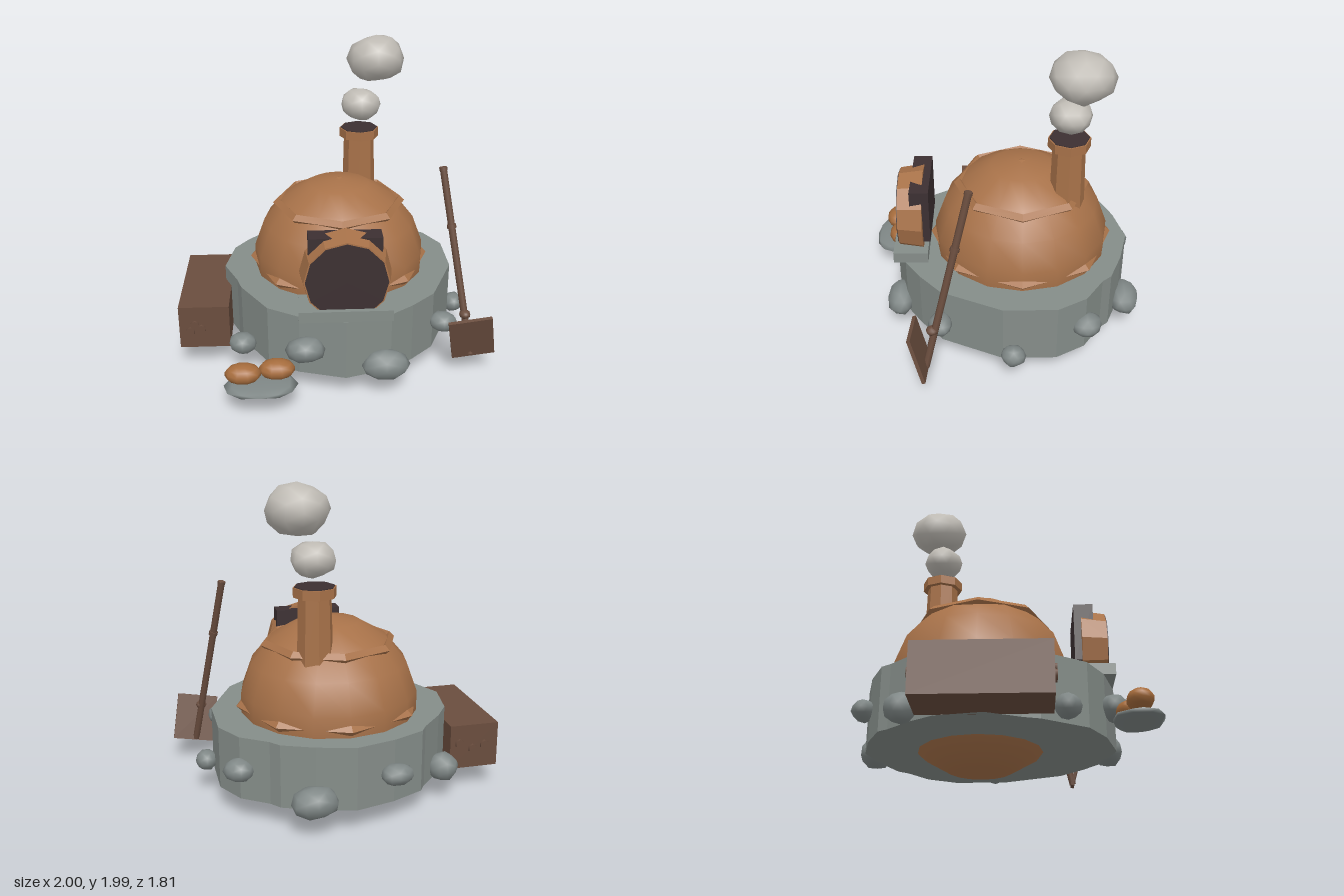
import * as THREE from 'three';
import { mergeVertices } from 'three/addons/utils/BufferGeometryUtils.js';

const mat = (name, color, flat = false) => {
  const m = new THREE.MeshStandardMaterial({ color, flatShading: flat });
  m.name = name;
  return m;
};

export function createModel() {
  const root = new THREE.Group();
  root.name = 'clayOven';
  const clay = mat('clay', 0xa87249);
  const stone = mat('stone', 0x858d89, true);
  const rock = mat('rock', 0x7f8786);
  const wood = mat('wood', 0x6a4d3e);
  const soot = mat('soot', 0x3c3032);
  const bread = mat('bread crust', 0xa66c3c);
  const smoke = mat('smoke', 0xc0bcb5);
  const clayFlat = mat('clay faceted', 0xa87249, true);

  const add = (name, geo, material, x, y, z, parent = root) => {
    const m = new THREE.Mesh(geo, material);
    m.name = name;
    m.position.set(x, y, z);
    parent.add(m);
    return m;
  };

  // Low-poly rounded lump with smooth normals, slightly uneven
  const lump = (rx, ry, rz, seed = 0) => {
    let g = new THREE.IcosahedronGeometry(1, 1);
    g.deleteAttribute('normal');
    g.deleteAttribute('uv');
    g = mergeVertices(g, 1e-3);
    const p = g.attributes.position;
    for (let i = 0; i < p.count; i++) {
      const k = 1 + 0.05 * Math.sin(i * 2.7 + seed * 1.9);
      p.setXYZ(i, p.getX(i) * k, p.getY(i) * k, p.getZ(i) * k);
    }
    g.scale(rx, ry, rz);
    g.computeVertexNormals();
    return g;
  };

  // Oven body, with coarse reinforcing bands whose corners break the surface
  const cx = 0.04, cz = -0.14;
  add('ovenDome', new THREE.SphereGeometry(0.568, 16, 9), clay, cx, 0.568, cz);
  for (const [r, y] of [[0.56, 0.585], [0.4, 0.97]]) {
    const band = add('domeBand', new THREE.TorusGeometry(r, 0.032, 4, 8), clayFlat, cx, y, cz);
    band.rotation.x = Math.PI / 2;
  }
  add('domeTip', new THREE.OctahedronGeometry(0.05), clayFlat, cx, 1.125, cz).scale.y = 0.3;

  // Irregular stone base
  const outline = [
    [0.04, -0.84], [0.27, -0.78], [0.46, -0.7], [0.51, -0.64], [0.67, -0.53], [0.77, -0.35],
    [0.775, -0.02], [0.68, 0.2], [0.61, 0.36], [0.46, 0.5], [0.32, 0.6], [0.04, 0.68],
    [-0.24, 0.6], [-0.43, 0.49], [-0.6, 0.22], [-0.63, 0.12], [-0.72, -0.08], [-0.67, -0.35],
    [-0.58, -0.48], [-0.44, -0.63], [-0.4, -0.69], [-0.2, -0.78],
  ].map(([x, z]) => new THREE.Vector2(x, z));
  const baseGeo = new THREE.ExtrudeGeometry(new THREE.Shape(outline), { depth: 0.39, bevelEnabled: false });
  baseGeo.rotateX(Math.PI / 2);
  add('stoneBase', baseGeo, stone, 0, 0.54, 0);

  // Ten boulders around the base, alternating low and high
  const sizes = [
    [0.07, 0.065, 0.075], [0.09, 0.065, 0.075], [0.145, 0.095, 0.095], [0.12, 0.08, 0.085], [0.09, 0.07, 0.075],
    [0.09, 0.065, 0.08], [0.1, 0.09, 0.095], [0.1, 0.065, 0.075], [0.14, 0.095, 0.1], [0.095, 0.07, 0.095],
  ];
  sizes.forEach((s, i) => {
    const a = (i * Math.PI) / 5;
    add('boulder', lump(...s, i), rock,
      0.04 + 0.785 * Math.cos(a), i % 2 ? 0.34 : 0.22, -0.085 + 0.77 * Math.sin(a));
  });

  // Oven mouth: clay collar, sooty opening and backing block
  const collarGeo = new THREE.CylinderGeometry(0.255, 0.278, 0.155, 12);
  collarGeo.rotateX(Math.PI / 2);
  add('mouthCollar', collarGeo, clayFlat, 0.045, 0.785, 0.562);
  const openingGeo = new THREE.CylinderGeometry(0.246, 0.246, 0.008, 12);
  openingGeo.rotateX(Math.PI / 2);
  add('mouthOpening', openingGeo, soot, 0.045, 0.785, 0.641);
  add('mouthBlock', new THREE.BoxGeometry(0.44, 0.37, 0.12), soot, 0.04, 0.845, 0.5);
  add('hearthSlab', new THREE.BoxGeometry(0.56, 0.07, 0.22), stone, 0.04, 0.575, 0.565);

  // Chimney
  const chimney = new THREE.Group();
  chimney.name = 'chimney';
  chimney.position.set(0.19, 0, -0.42);
  root.add(chimney);
  add('chimneyStack', new THREE.CylinderGeometry(0.1, 0.11, 0.42, 8), clayFlat, 0, 1.13, 0, chimney);
  add('chimneyCap', new THREE.CylinderGeometry(0.13, 0.13, 0.058, 8), clayFlat, 0, 1.356, 0, chimney);
  add('chimneyOpening', new THREE.CylinderGeometry(0.122, 0.122, 0.006, 8), soot, 0, 1.387, 0, chimney);

  // Smoke puffs
  add('smokePuffSmall', lump(0.135, 0.108, 0.128, 1), smoke, 0.2, 1.545, -0.42);
  add('smokePuffLarge', lump(0.187, 0.152, 0.19, 3), smoke, 0.3, 1.84, -0.47);

  // Wood bin with log ends at front and back
  add('woodBin', new THREE.BoxGeometry(0.32, 0.29, 0.74), wood, -0.84, 0.295, -0.08);
  const logGeo = new THREE.CylinderGeometry(0.03, 0.03, 0.03, 6);
  logGeo.rotateX(Math.PI / 2);
  for (const [x, y, z] of [
    [-0.9, 0.315, 0.29], [-0.86, 0.285, 0.29], [-0.93, 0.27, 0.29],
    [-0.91, 0.3, -0.45], [-0.83, 0.28, -0.45], [-0.74, 0.32, -0.45],
  ]) add('logEnd', logGeo, wood, x, y, z);

  // Loaves on a flat stone
  add('servingStone', lump(0.215, 0.025, 0.15, 2), rock, -0.475, 0.175, 0.755);
  const loafGeo = new THREE.SphereGeometry(1, 10, 7);
  loafGeo.scale(0.11, 0.06, 0.077);
  for (const [x, z] of [[-0.575, 0.757], [-0.375, 0.718]]) add('loaf', loafGeo, bread, x, 0.258, z);

  // Shovel leaning on the base: handle, rings, knob and blade
  const top = new THREE.Vector3(0.66, 1.315, 0.17);
  const end = new THREE.Vector3(0.845, 0.15, 0.45);
  const dir = top.clone().sub(end);
  const aim = new THREE.Quaternion().setFromUnitVectors(new THREE.Vector3(0, 1, 0), dir.clone().normalize());
  const rod = (name, t, r, len) => {
    const p = end.clone().addScaledVector(dir, t);
    add(name, new THREE.CylinderGeometry(r, r, len, 8), wood, p.x, p.y, p.z).quaternion.copy(aim);
  };
  rod('shovelHandle', 0.5, 0.022, dir.length());
  rod('handleRing', 0.69, 0.029, 0.025);
  rod('handleRing', 0.99, 0.025, 0.02);
  add('handleKnob', lump(0.036, 0.028, 0.036), wood, 0.805, 0.41, 0.405);
  const blade = add('shovelBlade', new THREE.BoxGeometry(0.27, 0.31, 0.022), wood, 0.84, 0.288, 0.487);
  blade.rotation.set(0.27, 0, 0.165);

  return root;
}
